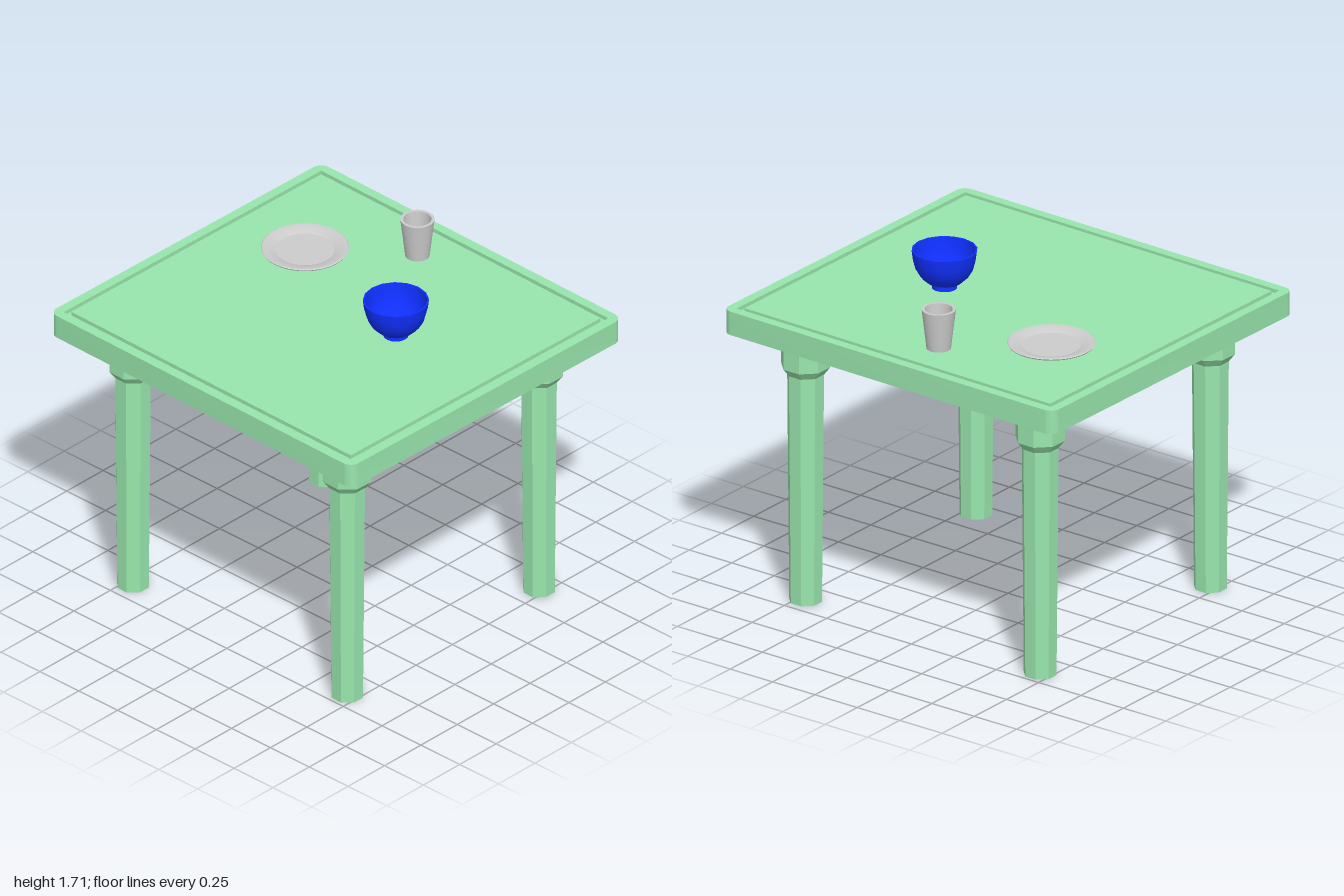
import * as THREE from 'three';
import { toCreasedNormals } from 'three/addons/utils/BufferGeometryUtils.js';

const WIDTH = 1.835, DEPTH = 1.972;
const TOP = 1.505, BOTTOM = 1.385;

const green = new THREE.MeshStandardMaterial({ color: 0x99e6ad });
const greenFlat = new THREE.MeshStandardMaterial({ color: 0x99e6ad, flatShading: true });
const blue = new THREE.MeshStandardMaterial({ color: 0x1030ff });
const grey = new THREE.MeshStandardMaterial({ color: 0xcccccc });

function addMesh(parent, name, geometry, material, x = 0, y = 0, z = 0) {
  const mesh = new THREE.Mesh(geometry, material);
  mesh.name = name;
  mesh.position.set(x, y, z);
  parent.add(mesh);
  return mesh;
}

// Rounded rectangle centred on the origin
function roundedRect(w, d, r) {
  const x = w / 2, y = d / 2;
  const s = new THREE.Shape();
  s.moveTo(-x + r, -y);
  s.lineTo(x - r, -y);
  s.absarc(x - r, -y + r, r, -Math.PI / 2, 0, false);
  s.lineTo(x, y - r);
  s.absarc(x - r, y - r, r, 0, Math.PI / 2, false);
  s.lineTo(-x + r, y);
  s.absarc(-x + r, y - r, r, Math.PI / 2, Math.PI, false);
  s.lineTo(-x, -y + r);
  s.absarc(-x + r, -y + r, r, Math.PI, Math.PI * 1.5, false);
  return s;
}

// Lathe with sharp edges kept; profile is a list of [radius, height]
function turned(profile, segments, crease = 0.6) {
  const points = profile.map(([r, y]) => new THREE.Vector2(r, y));
  return toCreasedNormals(new THREE.LatheGeometry(points, segments), crease);
}

export function createModel() {
  const model = new THREE.Group();
  model.name = 'laidTable';

  const table = new THREE.Group();
  table.name = 'table';
  table.rotation.y = -0.0155;
  model.add(table);

  // Rim: a tall frame with rounded outer corners
  const inset = 0.048, grooveEnd = 0.074;
  const innerW = WIDTH - 2 * inset, innerD = DEPTH - 2 * inset;
  const frame = roundedRect(WIDTH, DEPTH, 0.05);
  frame.holes.push(new THREE.Path([
    new THREE.Vector2(-innerW / 2, -innerD / 2),
    new THREE.Vector2(-innerW / 2, innerD / 2),
    new THREE.Vector2(innerW / 2, innerD / 2),
    new THREE.Vector2(innerW / 2, -innerD / 2),
  ]));
  const rim = new THREE.ExtrudeGeometry(frame, { depth: TOP - BOTTOM, bevelEnabled: false, curveSegments: 5 });
  rim.rotateX(-Math.PI / 2);
  addMesh(table, 'tabletopRim', toCreasedNormals(rim, 0.6), green, 0, BOTTOM, 0);

  // Board under the groove, and the raised panel within it
  addMesh(table, 'tabletopBoard', new THREE.BoxGeometry(innerW, 0.02, innerD), green, 0, 1.475, 0);
  addMesh(table, 'tabletopPanel',
    new THREE.BoxGeometry(WIDTH - 2 * grooveEnd, 0.025, DEPTH - 2 * grooveEnd), green, 0, TOP - 0.0125, 0);

  // Eight-sided legs with a wider collar
  const legProfile = [[0, 0], [0.08, 0], [0.09, 1.165], [0.12, 1.205], [0.12, 1.47]]
    .map(([r, y]) => new THREE.Vector2(r, y));
  const legGeometry = new THREE.LatheGeometry(legProfile, 8);
  legGeometry.rotateY(Math.PI / 8);
  for (const [xName, sx] of [['Left', 1], ['Right', -1]]) {
    for (const [zName, sz] of [['front', 1], ['back', -1]]) {
      addMesh(table, `${zName}${xName}Leg`, legGeometry, greenFlat, sx * 0.648, 0, sz * 0.7);
    }
  }

  // Bowl on a small foot
  addMesh(model, 'bowl', turned([
    [0, 0], [0.06, 0], [0.058, 0.022], [0.085, 0.034], [0.115, 0.062], [0.138, 0.102], [0.15, 0.148], [0.156, 0.195],
    [0.148, 0.195], [0.141, 0.148], [0.129, 0.106], [0.107, 0.07], [0.078, 0.044], [0.05, 0.033], [0, 0.03],
  ], 16, 0.75), blue, 0.065, TOP, 0.325);

  // Cup
  addMesh(model, 'cup', turned([
    [0, 0], [0.058, 0], [0.081, 0.2], [0.066, 0.2], [0.05, 0.015], [0, 0.015],
  ], 32), grey, 0.65, TOP, -0.085);

  // Plate
  addMesh(model, 'plate', turned([
    [0, 0], [0.14, 0], [0.165, 0.008], [0.204, 0.015], [0.208, 0.021], [0.203, 0.025],
    [0.172, 0.022], [0.14, 0.008], [0, 0.008],
  ], 40, 0.35), grey, 0.315, TOP, -0.495);

  return model;
}
